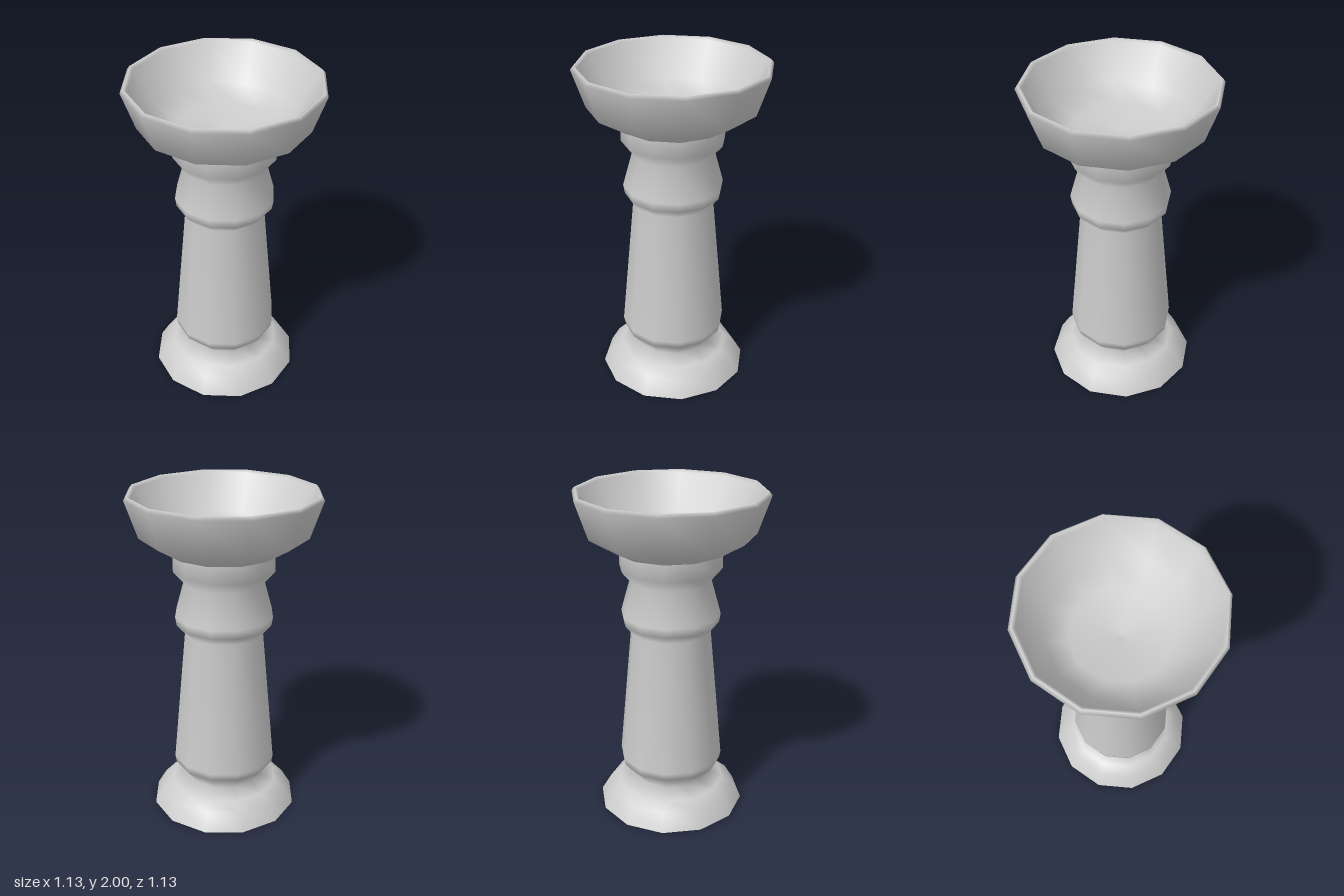
import * as THREE from 'three';

const SIDES = 12;
const material = new THREE.MeshStandardMaterial({ color: 0xcccccc, side: THREE.DoubleSide });

// Smooth-shaded twelve-sided turning from [radius, height] pairs
function turned(name, profile) {
  const points = profile.map(([r, y]) => new THREE.Vector2(r, y));
  const mesh = new THREE.Mesh(new THREE.LatheGeometry(points, SIDES), material);
  mesh.name = name;
  return mesh;
}

export function createModel() {
  const model = new THREE.Group();
  model.name = 'pedestalBowl';

  // Hollow flared foot, tapering shaft and collar, open underneath
  model.add(turned('pedestal', [
    [0.453, 0], [0.395, 0.10], [0.33, 0.145], [0.225, 0.18],
    [0.31, 0.285], [0.318, 0.33],
    [0.24, 1.16], [0.288, 1.215], [0.297, 1.27],
    [0.24, 1.475], [0.303, 1.55], [0.303, 1.66],
  ]));

  // Bowl: outer wall, thin bevelled rim, then the sloping inside down to the floor
  model.add(turned('bowl', [
    [0.30, 1.66], [0.33, 1.66], [0.493, 1.76], [0.567, 1.98], [0.55, 2.0],
    [0.53, 1.985], [0.41, 1.78], [0.28, 1.71], [0, 1.68],
  ]));

  return model;
}
